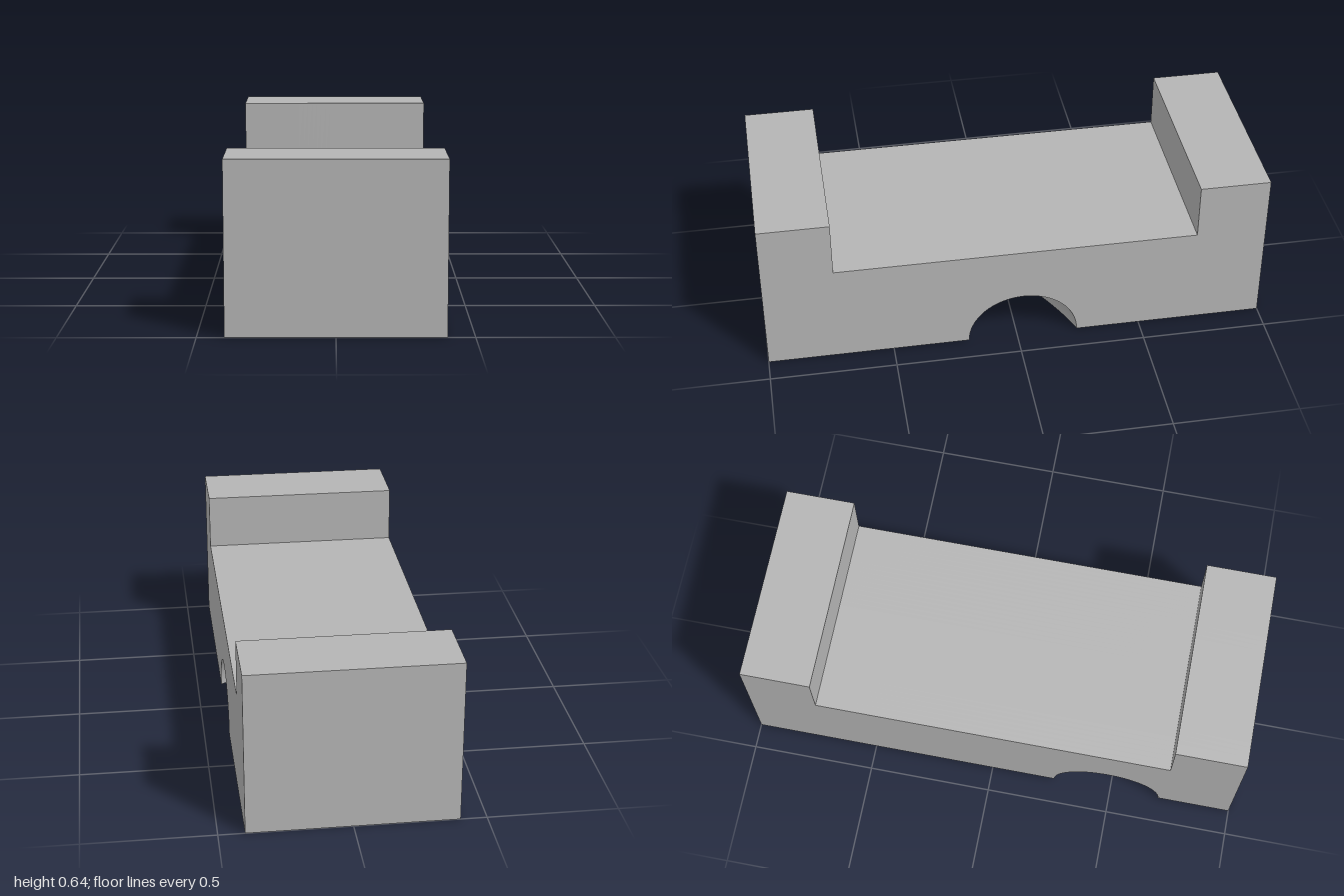
import * as THREE from 'three';
import { toCreasedNormals } from 'three/addons/utils/BufferGeometryUtils.js';

const HALF_WIDTH = 0.4, RADIUS = 0.2, STATIONS = 40, ARCH_STEPS = 32;
const Z_LEFT = -0.0245, Z_RIGHT = 0.4825; // tunnel centre at +x and -x

// Gentle S-curve of the tunnel centre line across the block, with its slope
function tunnelAt(x) {
  const s = (HALF_WIDTH - x) / (2 * HALF_WIDTH), k = 0.27, span = Z_RIGHT - Z_LEFT;
  const centre = Z_LEFT + span * ((1 - k) * s + k * s * s * (3 - 2 * s));
  const slope = span / (2 * HALF_WIDTH) * (1 - k + k * 6 * s * (1 - s));
  return { centre, halfWidth: RADIUS * Math.hypot(1, slope) };
}

// Outline in (z, y) at one x: base with arch, two raised ends, low deck
function outline(x) {
  const { centre, halfWidth } = tunnelAt(x);
  const points = [[-1, 0]];
  for (let i = 0; i <= ARCH_STEPS; i++) {
    const a = Math.PI * (1 - i / ARCH_STEPS);
    points.push([centre + halfWidth * Math.cos(a), RADIUS * Math.sin(a)]);
  }
  points.push([1, 0], [1, 0.645], [0.72, 0.645], [0.72, 0.42],
    [-0.72, 0.42], [-0.72, 0.645], [-1, 0.645]);
  return points.map(([z, y]) => new THREE.Vector2(z, y));
}

function blockGeometry() {
  const positions = [], index = [], rings = [];
  for (let i = 0; i <= STATIONS; i++) {
    const x = HALF_WIDTH * (2 * i / STATIONS - 1);
    const ring = outline(x);
    rings.push(ring);
    ring.forEach(p => positions.push(x, p.y, p.x));
  }
  const n = rings[0].length;

  // Skin between neighbouring outlines
  for (let i = 0; i < STATIONS; i++) {
    for (let j = 0; j < n; j++) {
      const a = i * n + j, b = i * n + (j + 1) % n;
      index.push(a, a + n, b + n, a, b + n, b);
    }
  }

  // Flat side walls
  const last = STATIONS * n;
  for (const [a, b, c] of THREE.ShapeUtils.triangulateShape(rings[0], [])) index.push(a, b, c);
  for (const [a, b, c] of THREE.ShapeUtils.triangulateShape(rings[STATIONS], [])) {
    index.push(last + a, last + c, last + b);
  }

  const geometry = new THREE.BufferGeometry();
  geometry.setAttribute('position', new THREE.Float32BufferAttribute(positions, 3));
  geometry.setIndex(index);
  return toCreasedNormals(geometry, Math.PI / 6);
}

export function createModel() {
  const group = new THREE.Group();
  group.name = 'notchedBlock';
  const grey = new THREE.MeshStandardMaterial({ color: 0xb4b4b4 });
  grey.name = 'plain grey';
  const block = new THREE.Mesh(blockGeometry(), grey);
  block.name = 'blockWithCurvedTunnel';
  group.add(block);
  return group;
}
